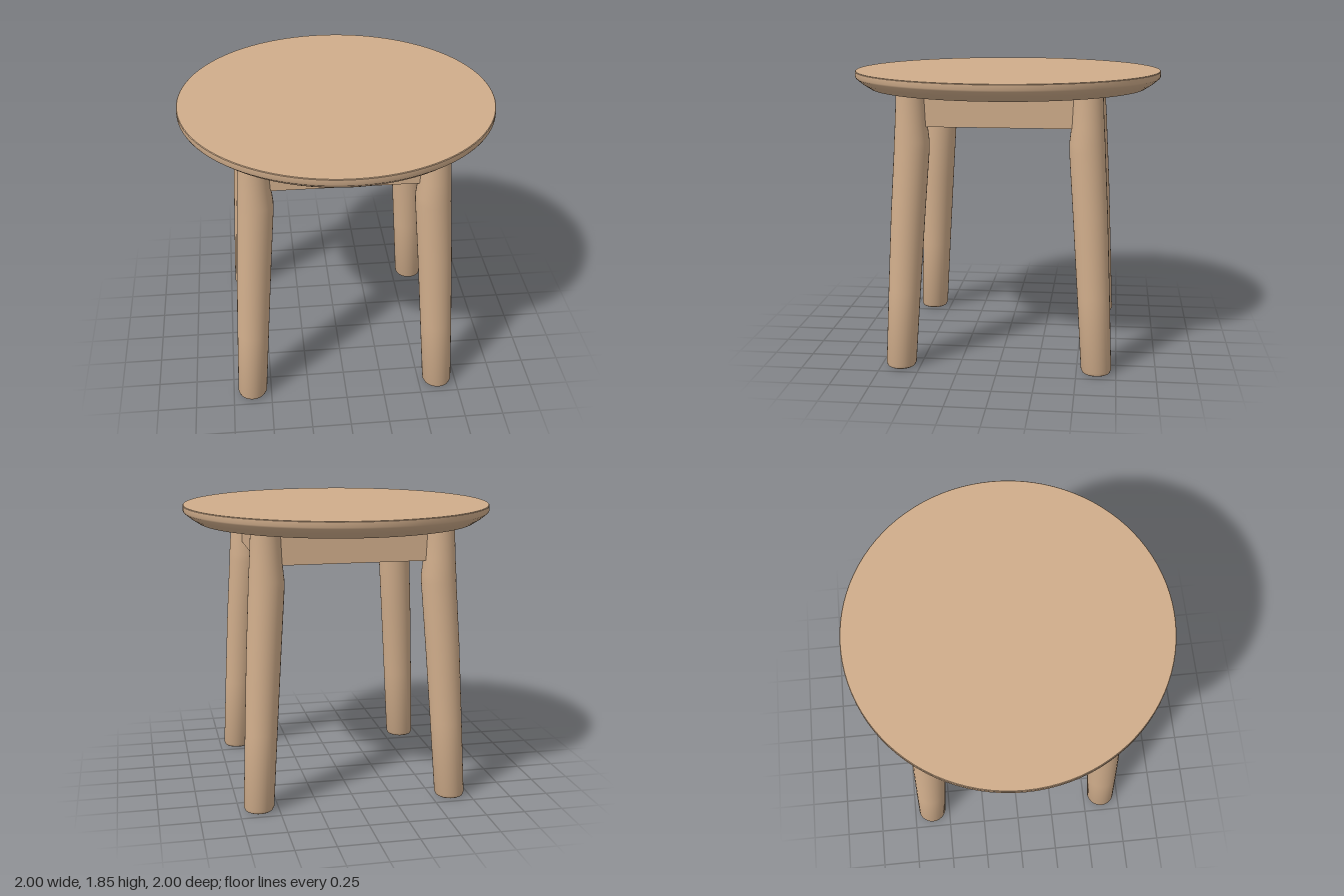
import * as THREE from 'three';
import { mergeVertices, toCreasedNormals } from 'three/addons/utils/BufferGeometryUtils.js';

const wood = new THREE.MeshStandardMaterial({ color: 0xd0ad8b });
wood.name = 'light wood';

function part(name, geometry) {
  const mesh = new THREE.Mesh(geometry, wood);
  mesh.name = name;
  return mesh;
}

// Turned profile given as [radius, height] pairs, from the bottom up
function turned(profile, segments) {
  return new THREE.LatheGeometry(profile.map(([r, y]) => new THREE.Vector2(r, y)), segments);
}

function creased(geometry) {
  geometry.deleteAttribute('uv');
  geometry.deleteAttribute('normal');
  return toCreasedNormals(mergeVertices(geometry, 1e-4), 0.5);
}

// Leg sections: height, radius, and offset of the centre along both x and z
const LEG = [
  [0, 0, 0.625], [0, 0.078, 0.625], [0.006, 0.088, 0.625], [0.025, 0.096, 0.624],
  [0.5, 0.102, 0.599], [1.0, 0.108, 0.571], [1.4, 0.111, 0.545], [1.45, 0.11, 0.544],
  [1.56, 0.1, 0.546], [1.74, 0.092, 0.545], [1.75, 0.092, 0.545], [1.75, 0, 0.545],
];

function legGeometry() {
  const geometry = turned(LEG.map(([y, r]) => [r, y]), 32);
  // Lean the leg outwards by shifting each ring to its own centre
  const pos = geometry.attributes.position;
  for (let i = 0; i < pos.count; i++) {
    const shift = LEG[i % LEG.length][2];
    pos.setXYZ(i, pos.getX(i) + shift, pos.getY(i), pos.getZ(i) + shift);
  }
  return creased(geometry);
}

export function createModel() {
  const stool = new THREE.Group();
  stool.name = 'roundStool';

  // Round seat with a chamfered underside
  const seat = turned([
    [0, 1.74], [0.905, 1.74], [0.955, 1.772], [0.995, 1.805], [1, 1.815],
    [1, 1.846], [0.996, 1.85], [0, 1.85],
  ], 96);
  stool.add(part('seat', creased(seat)));

  // Four splayed legs joined by four apron rails
  const leg = legGeometry();
  const rail = new THREE.BoxGeometry(1.04, 0.205, 0.07).translate(0, 1.6425, 0.54);
  for (let i = 0; i < 4; i++) {
    const side = new THREE.Group();
    side.name = 'side' + (i + 1);
    side.add(part('leg', leg), part('apronRail', rail));
    side.rotation.y = (i * Math.PI) / 2;
    stool.add(side);
  }
  return stool;
}
